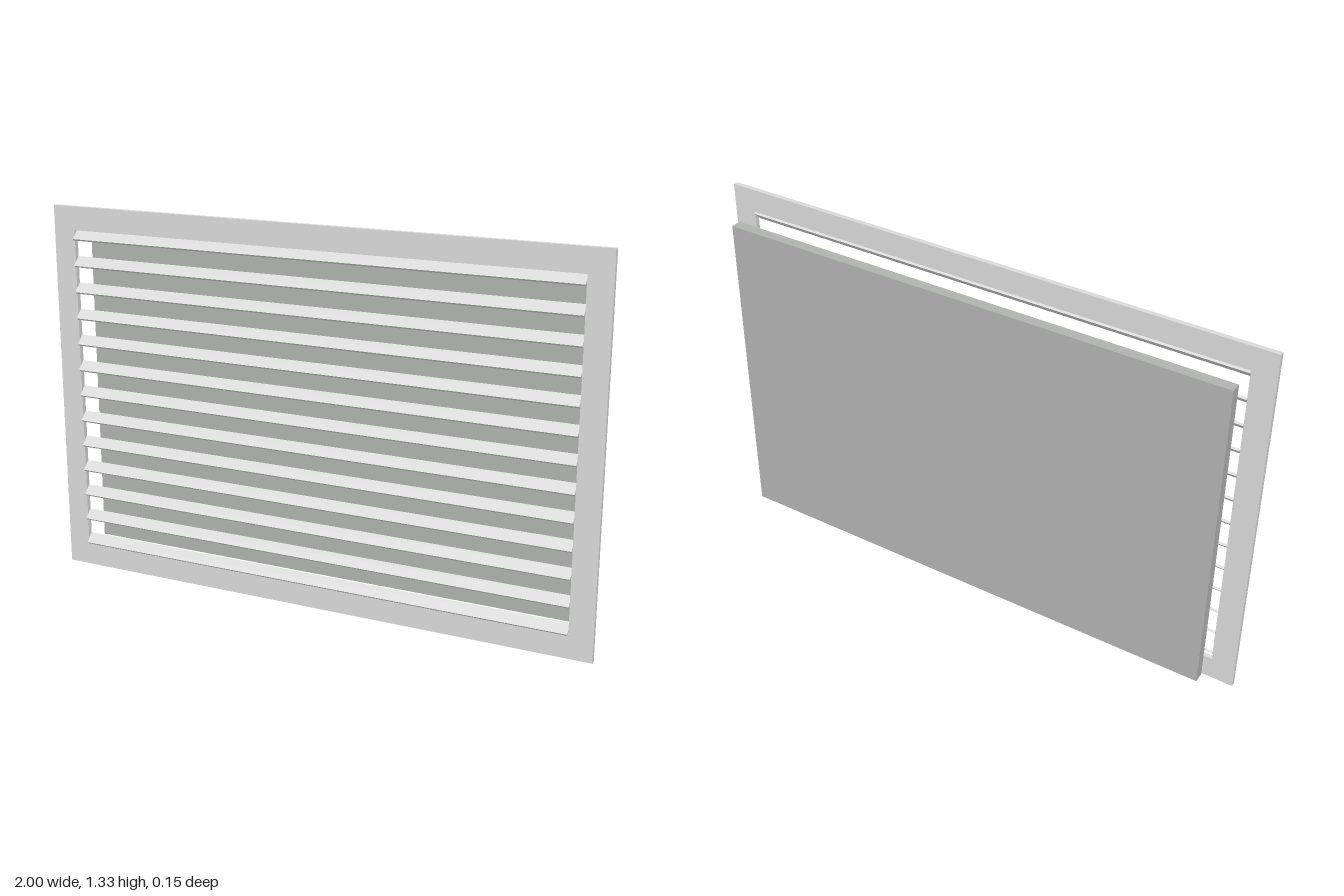
import * as THREE from 'three';

const WIDTH = 2, HEIGHT = 1.333, BORDER = 0.083;
const INNER_W = WIDTH - 2 * BORDER, INNER_H = HEIGHT - 2 * BORDER;

export function createModel() {
  const group = new THREE.Group();
  group.name = 'ventGrille';

  const paleGrey = new THREE.MeshStandardMaterial({ color: 0xd9d9d9 });
  paleGrey.name = 'paleGrey';
  const midGrey = new THREE.MeshStandardMaterial({ color: 0xb0b2b0 });
  midGrey.name = 'midGrey';

  const add = (name, geometry, material, y, z) => {
    const mesh = new THREE.Mesh(geometry, material);
    mesh.name = name;
    mesh.position.set(0, y, z);
    group.add(mesh);
    return mesh;
  };

  // Closed rectangle centred on the origin
  const rectangle = (Type, w, h) => new Type([
    new THREE.Vector2(-w / 2, -h / 2), new THREE.Vector2(w / 2, -h / 2),
    new THREE.Vector2(w / 2, h / 2), new THREE.Vector2(-w / 2, h / 2),
  ]);

  // Flat front frame with one large opening
  const outline = rectangle(THREE.Shape, WIDTH, HEIGHT);
  outline.holes.push(rectangle(THREE.Path, INNER_W, INNER_H));
  const frame = new THREE.ExtrudeGeometry(outline, { depth: 0.017, bevelEnabled: false });
  add('frame', frame, paleGrey, HEIGHT / 2, 0.0455);

  // Angled slats, front edge tipped down, filling the opening
  const SLATS = 13, SLAT_T = 0.0083, SLAT_L = 0.0417;
  const slatGeometry = new THREE.BoxGeometry(INNER_W, SLAT_T, SLAT_L);
  const reach = (SLAT_T + SLAT_L) * Math.SQRT1_2 / 2;
  const first = BORDER + reach, last = HEIGHT - BORDER - reach;
  for (let i = 0; i < SLATS; i++) {
    const y = THREE.MathUtils.lerp(first, last, i / (SLATS - 1));
    add(`slat${i + 1}`, slatGeometry, paleGrey, y, 0.058).rotation.x = Math.PI / 4;
  }

  // Separate panel behind the opening
  add('backPanel', new THREE.BoxGeometry(INNER_W, INNER_H, 0.038), midGrey, HEIGHT / 2, -0.0568);

  return group;
}
